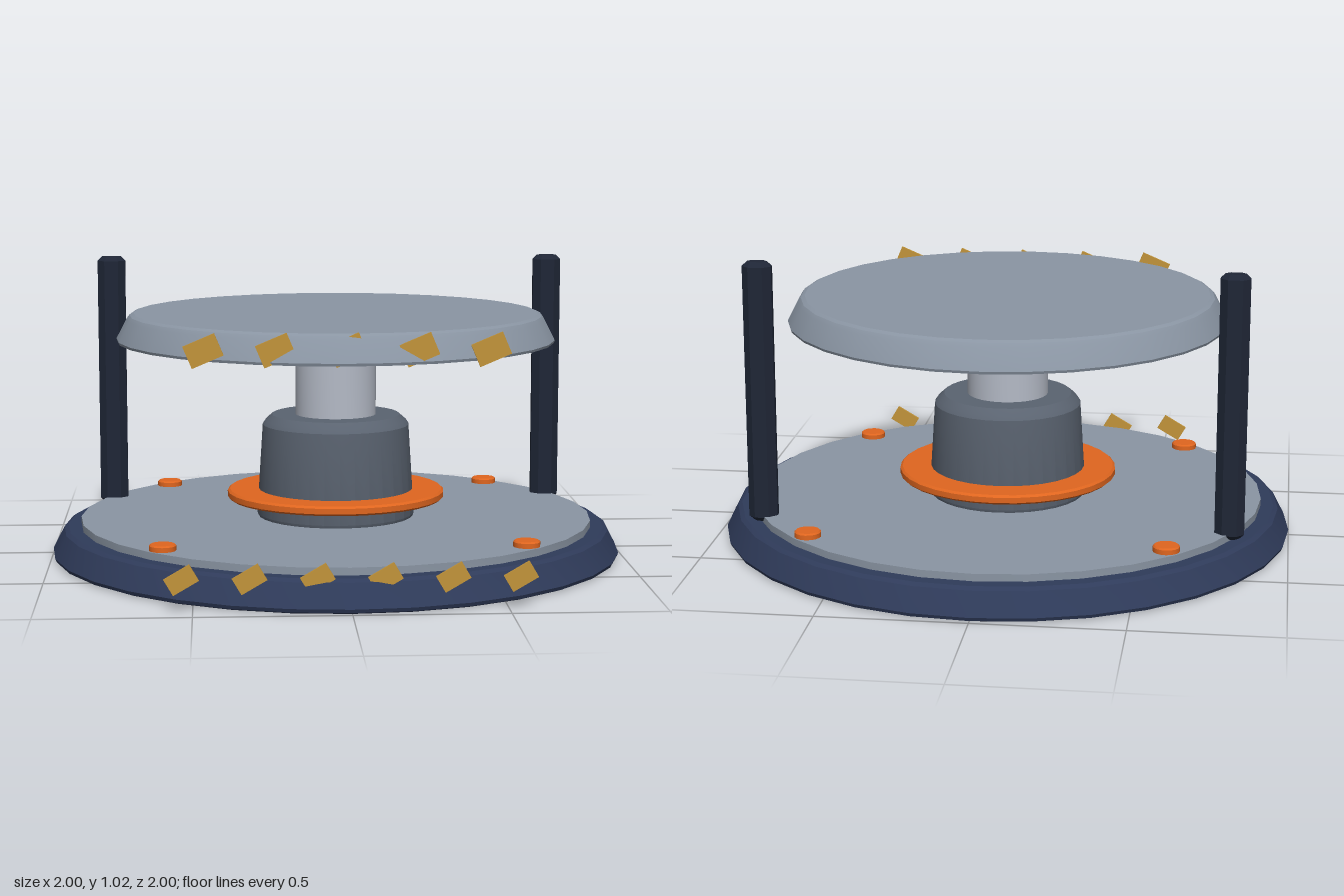
import * as THREE from 'three';
import { toCreasedNormals } from 'three/addons/utils/BufferGeometryUtils.js';

const mat = (color) => new THREE.MeshStandardMaterial({ color });
const NAVY = mat(0x2f3b5a), PLATE = mat(0x8a95a3), STEEL = mat(0xb4bac6), SLATE = mat(0x5a6370);
const ORANGE = mat(0xe0661f), DARK = mat(0x1f2636), GOLD = mat(0xc2943a);

export function createModel() {
  const model = new THREE.Group();

  function add(name, geometry, material, x = 0, y = 0, z = 0) {
    const mesh = new THREE.Mesh(geometry, material);
    mesh.name = name;
    mesh.position.set(x, y, z);
    model.add(mesh);
    return mesh;
  }

  // Closed turned part from [radius, height] pairs, bottom to top
  function turned(profile, segments = 32) {
    const points = profile.map(([r, y]) => new THREE.Vector2(r, y));
    return toCreasedNormals(new THREE.LatheGeometry(points, segments), 0.45);
  }

  // Base and its deck
  add('base', turned([[0, 0], [0.98, 0], [0.995, 0.006], [1, 0.018], [0.96, 0.095], [0.945, 0.105], [0, 0.105]]), NAVY);
  add('deck', turned([[0, 0.1], [0.9, 0.1], [0.9, 0.13], [0, 0.13]]), PLATE);

  // Pedestal, collar and column
  add('pedestal', turned([[0, 0.12], [0.27, 0.12], [0.278, 0.14], [0.258, 0.455], [0.248, 0.47], [0.225, 0.49], [0, 0.49]]), SLATE);
  add('collar', turned([[0, 0.193], [0.375, 0.193], [0.383, 0.2], [0.383, 0.219], [0.375, 0.226], [0, 0.226]]), ORANGE);
  add('column', turned([[0, 0.48], [0.142, 0.48], [0.142, 0.76], [0, 0.76]]), STEEL);

  // Raised round plate
  add('topPlate', turned([[0, 0.753], [0.765, 0.753], [0.768, 0.762], [0.732, 0.832], [0.722, 0.845], [0.708, 0.852], [0, 0.852]]), PLATE);

  // Deck buttons
  const buttonGeometry = turned([[0, 0.125], [0.045, 0.125], [0.045, 0.146], [0.04, 0.151], [0, 0.151]], 16);
  for (const x of [-0.6, 0.6])
    for (const z of [-0.6, 0.6]) add('deckButton', buttonGeometry, ORANGE, x, 0, z);

  // Chamfered upright posts
  const w = 0.05, d = 0.035, c = 0.016;
  const outline = new THREE.Shape([
    [-w + 2 * c, -d + c], [w - 2 * c, -d + c], [w - c, -d + 2 * c], [w - c, d - 2 * c],
    [w - 2 * c, d - c], [-w + 2 * c, d - c], [-w + c, d - 2 * c], [-w + c, -d + 2 * c],
  ].map(([x, y]) => new THREE.Vector2(x, y)));
  const postGeometry = new THREE.ExtrudeGeometry(outline, {
    depth: 0.91 - 2 * c, bevelSize: c, bevelThickness: c, bevelSegments: 1,
  });
  postGeometry.rotateX(-Math.PI / 2);
  for (const x of [-0.8, 0.8]) add('post', postGeometry, DARK, x, 0.11 + c, -0.385);

  // Tilted marker tabs in straight rows
  function tabRow(name, count, spacing, width, height, y, z, tilt) {
    const geometry = new THREE.BoxGeometry(width, height, 0.01);
    for (let i = 0; i < count; i++) {
      const x = (i - (count - 1) / 2) * spacing;
      add(name, geometry, GOLD, x, y, z).rotation.z = tilt;
    }
  }
  tabRow('baseTab', 6, 0.214, 0.094, 0.06, 0.107, 0.947, 0.53);
  tabRow('plateTab', 5, 0.231, 0.11, 0.077, 0.8, 0.718, 0.4);

  return model;
}
